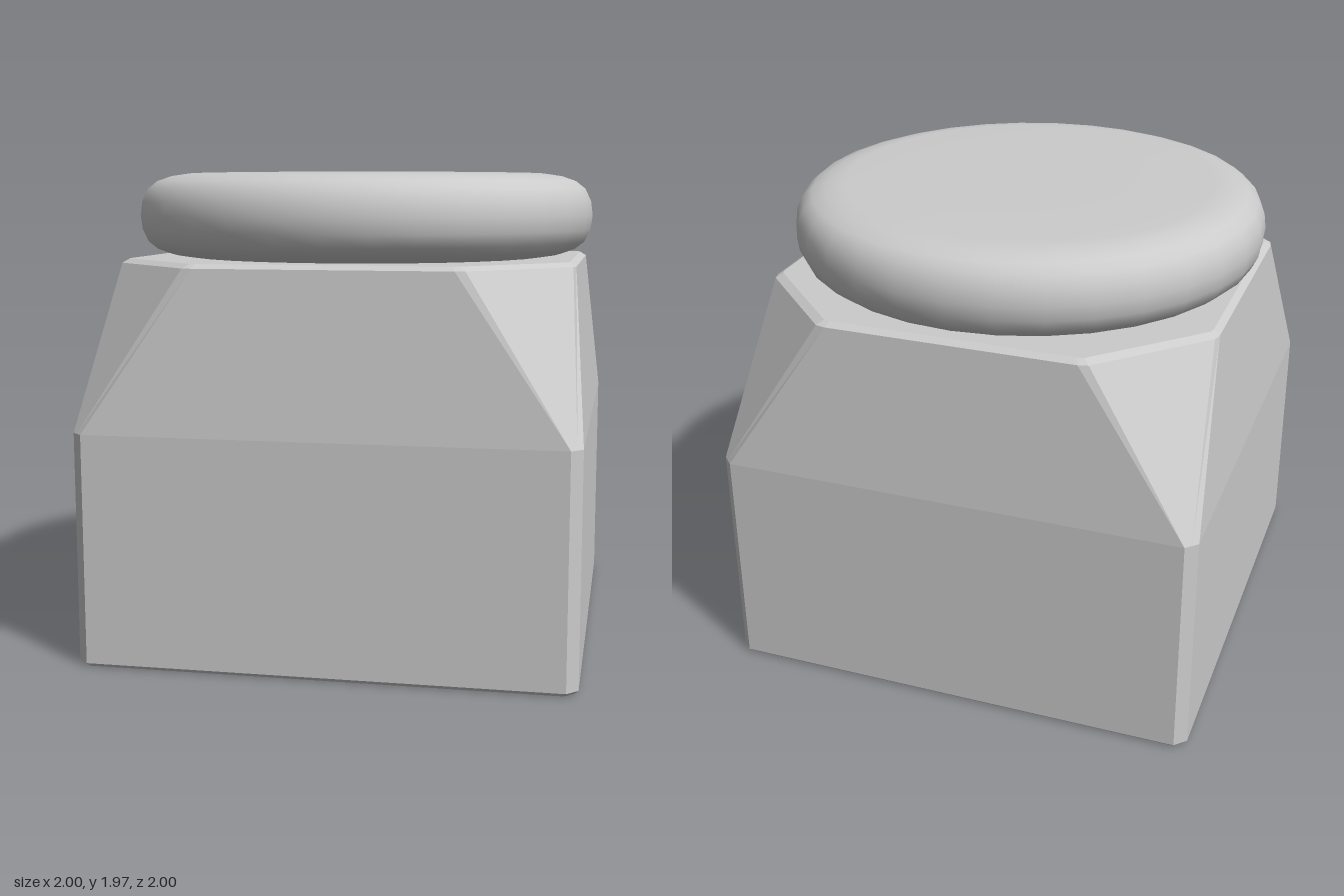
import * as THREE from 'three';

// Body cross-sections: [y, A, A2, B, B2]; corner runs (A,A2) (B,B2) (B2,B) (A2,A)
const SECTIONS = [
  [0, 0.985, 0.945, 0.965, 0.965],
  [0.015, 1, 0.955, 0.9775, 0.9775],
  [0.945, 1, 0.955, 0.9775, 0.9775],
  [1.597, 0.94, 0.51, 0.93, 0.55],
  [1.614, 0.913, 0.5, 0.907, 0.525],
];

function ring([y, a, a2, b, b2]) {
  const pts = [];
  let corner = [[a, a2], [b, b2], [b2, b], [a2, a]];
  for (let k = 0; k < 4; k++) {
    corner.forEach(([x, z]) => pts.push([x, y, z]));
    corner = corner.map(([x, z]) => [-z, x]);
  }
  return pts;
}

function loft(sections) {
  const rings = sections.map(ring);
  const n = rings[0].length;
  const pos = [];
  const tri = (...p) => p.forEach((v) => pos.push(...v));
  for (let i = 0; i < n; i++) {
    const j = (i + 1) % n;
    for (let r = 0; r < rings.length - 1; r++) {
      const lo = rings[r], hi = rings[r + 1];
      tri(lo[i], hi[i], lo[j]);
      tri(lo[j], hi[i], hi[j]);
    }
    const bottom = rings[0], top = rings[rings.length - 1];
    tri([0, bottom[0][1], 0], bottom[i], bottom[j]);
    tri([0, top[0][1], 0], top[j], top[i]);
  }
  const geo = new THREE.BufferGeometry();
  geo.setAttribute('position', new THREE.Float32BufferAttribute(pos, 3));
  geo.computeVertexNormals();
  return geo;
}

export function createModel() {
  const group = new THREE.Group();
  group.name = 'squareJarWithRoundLid';

  // Square body with tapered shoulders and cut corners
  const body = new THREE.Mesh(
    loft(SECTIONS),
    new THREE.MeshStandardMaterial({ color: 0xcccccc, flatShading: true })
  );
  body.name = 'body';
  group.add(body);

  // Round cushion-shaped lid: one rim profile mirrored about its mid height
  const mid = 1.79;
  const rim = [[0, 0.178], [0.4, 0.178], [0.77, 0.177], [0.85, 0.165], [0.91, 0.144], [0.95, 0.112], [0.975, 0.06]];
  const profile = [
    ...rim.map(([r, h]) => new THREE.Vector2(r, mid - h)),
    new THREE.Vector2(0.983, mid),
    ...rim.slice().reverse().map(([r, h]) => new THREE.Vector2(r, mid + h)),
  ];
  const lid = new THREE.Mesh(
    new THREE.LatheGeometry(profile, 32),
    new THREE.MeshStandardMaterial({ color: 0xcccccc })
  );
  lid.name = 'lid';
  group.add(lid);

  return group;
}
